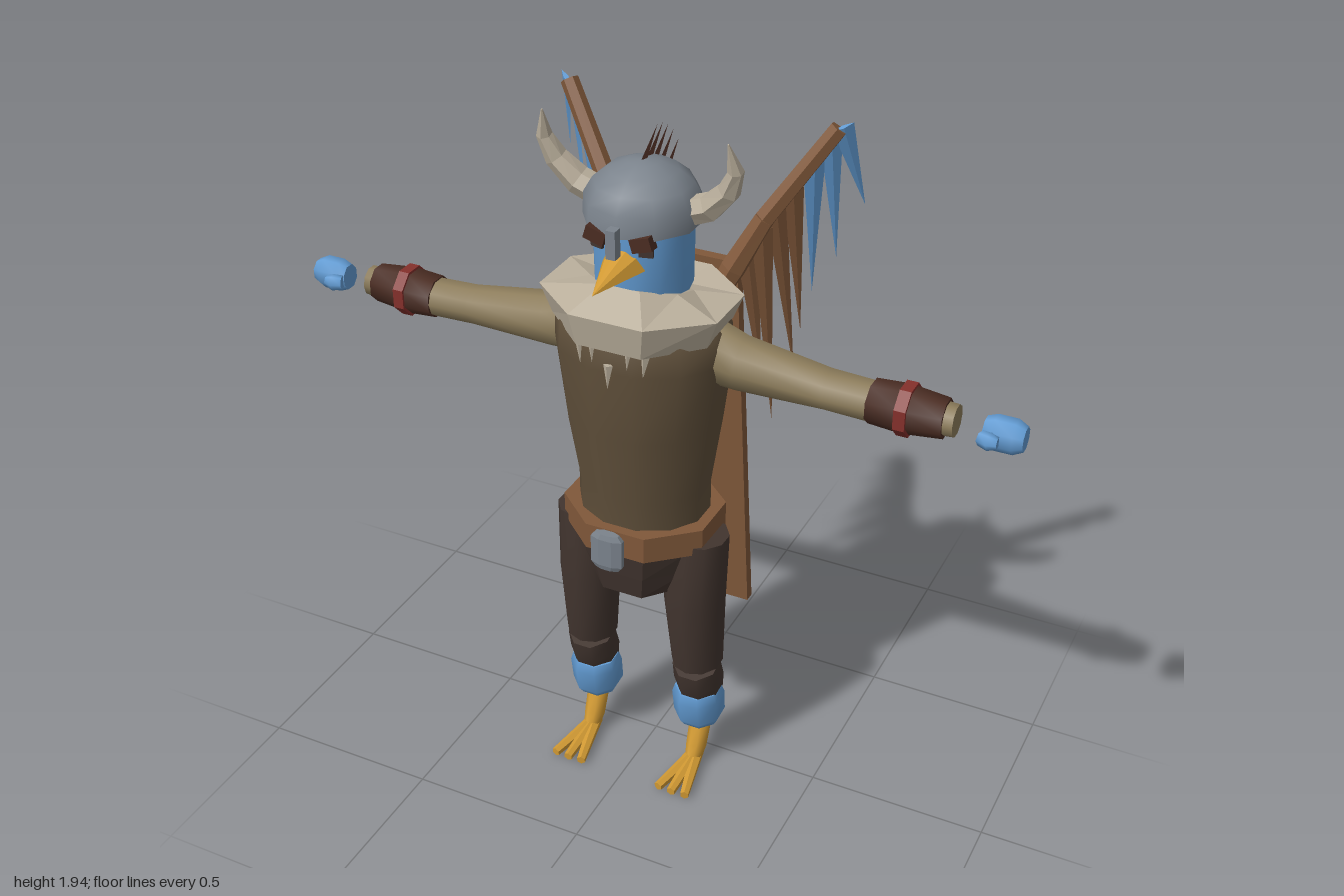
import * as THREE from 'three';
import { ConvexGeometry } from 'three/addons/geometries/ConvexGeometry.js';

const V = (x, y, z) => new THREE.Vector3(x, y, z);
const mat = (name, color) => {
  const m = new THREE.MeshStandardMaterial({ color });
  m.name = name;
  return m;
};

// Closed skin over elliptical rings [x, y, z, radiusAcross, radiusDepth] along a path.
function loft(rings, n) {
  const pos = [], idx = [], c = rings.map(r => V(r[0], r[1], r[2]));
  const k = 1 / Math.cos(Math.PI / n), last = rings.length - 1;
  const ring = i => {
    const t = c[Math.min(i + 1, last)].clone().sub(c[Math.max(i - 1, 0)]).normalize();
    const u = t.clone().cross(V(0, 0, 1)).normalize(), v = u.clone().cross(t);
    const start = pos.length / 3, [, , , a, b = a] = rings[i];
    for (let j = 0; j < n; j++) {
      const w = ((j + 0.5) / n) * Math.PI * 2;
      const p = c[i].clone().addScaledVector(u, a * k * Math.cos(w)).addScaledVector(v, b * k * Math.sin(w));
      pos.push(p.x, p.y, p.z);
    }
    return start;
  };
  for (let i = 0; i <= last; i++) ring(i);
  for (let i = 0; i < last; i++) for (let j = 0; j < n; j++) {
    const a = i * n + j, b = i * n + (j + 1) % n;
    idx.push(a, a + n, b, b, a + n, b + n);
  }
  // End caps keep their own vertices so their rims stay sharp
  for (const [i, start] of [[0, true], [last, false]]) {
    const s = ring(i);
    for (let j = 1; j < n - 1; j++) start ? idx.push(s, s + j, s + j + 1) : idx.push(s, s + j + 1, s + j);
  }
  const g = new THREE.BufferGeometry();
  g.setAttribute('position', new THREE.Float32BufferAttribute(pos, 3));
  g.setIndex(idx);
  g.computeVertexNormals();
  return g;
}

function flat(g) {
  const f = g.index ? g.toNonIndexed() : g;
  f.computeVertexNormals();
  return f;
}

// Flat tapering blade from base to tip, widened along a given direction.
function blade(base, tip, along, width, thick) {
  const d = tip.clone().sub(base), len = d.length();
  d.normalize();
  const x = along.clone().addScaledVector(d, -along.dot(d)).normalize();
  const z = x.clone().cross(d);
  const g = new THREE.ConeGeometry(1, 1, 4);
  g.translate(0, 0.5, 0);
  g.scale(width / 2, len, thick / 2);
  g.applyMatrix4(new THREE.Matrix4().makeBasis(x, d, z).setPosition(base));
  return flat(g);
}

export function createModel() {
  const tunic = mat('tunicBrown', 0x5f4f3a), sleeve = mat('sleeveTan', 0x8c7c5b);
  const cuff = mat('darkLeather', 0x4a2c22), red = mat('bandRed', 0x84302b);
  const blue = mat('featherBlue', 0x629bd2), bone = mat('boneCream', 0xb9ae9b);
  const steel = mat('helmetGrey', 0x7b838c), pants = mat('trouserBrown', 0x42352f);
  const brown = mat('leatherBrown', 0x80583a), orange = mat('beakOrange', 0xd39b34);

  const root = new THREE.Group();
  root.name = 'birdWarrior';
  const add = (name, geo, material) => {
    const m = new THREE.Mesh(geo, material);
    m.name = name;
    root.add(m);
    return m;
  };
  const skin = (name, material, n, rings) => add(name, loft(rings, n), material);
  const facet = (name, material, n, rings) => add(name, flat(loft(rings, n)), material);

  // Body
  skin('torso', tunic, 12, [[0, 0.8, 0.07, 0.175, 0.15], [0, 0.95, 0.07, 0.175, 0.155], [0, 1.15, 0.075, 0.205, 0.18],
    [0, 1.35, 0.075, 0.23, 0.19], [0, 1.43, 0.075, 0.225, 0.185], [0, 1.47, 0.075, 0.17, 0.15]]);
  facet('collar', bone, 8, [[0, 1.425, 0.08, 0.215, 0.19], [0, 1.5, 0.085, 0.245, 0.2], [0, 1.515, 0.08, 0.12, 0.12]]);
  facet('hips', pants, 8, [[0, 0.65, 0.065, 0.14, 0.145], [0, 0.72, 0.07, 0.165, 0.155], [0, 0.81, 0.075, 0.19, 0.165]]);
  facet('belt', brown, 8, [[0, 0.79, 0.07, 0.205, 0.18], [0, 0.865, 0.07, 0.205, 0.18]]);
  facet('buckle', steel, 8, [[0, 0.775, 0.29, 0.033, 0.012], [0, 0.79, 0.29, 0.045, 0.016],
    [0, 0.87, 0.29, 0.045, 0.016], [0, 0.885, 0.29, 0.033, 0.012]]);

  // Necklace of teeth
  for (const [x, y] of [[-0.09, 1.41], [-0.05, 1.415], [0, 1.375], [0.05, 1.415], [0.09, 1.41]])
    add('necklaceTooth', blade(V(x, y, 0.27 - Math.abs(x) * 0.25), V(x * 0.95, y - 0.065, 0.275 - Math.abs(x) * 0.25),
      V(1, 0, 0), 0.026, 0.02), bone);

  // Head and helmet
  skin('head', blue, 12, [[0, 1.49, 0.07, 0.105, 0.11], [0, 1.53, 0.07, 0.122, 0.124], [0, 1.72, 0.07, 0.125, 0.126]]);
  skin('helmet', steel, 10, [[0, 1.695, 0.07, 0.145], [0, 1.75, 0.07, 0.142], [0, 1.79, 0.07, 0.12],
    [0, 1.82, 0.07, 0.085], [0, 1.84, 0.07, 0.04], [0, 1.843, 0.07, 0.004]]);
  add('noseGuard', new THREE.BoxGeometry(0.026, 0.075, 0.028), steel).position.set(0, 1.69, 0.236);
  const upper = [[0.045, 1.645], [0.062, 1.605], [0.015, 1.662]];
  const beak = [V(0, 1.6, 0.345)];
  for (const s of [1, -1]) for (const [x, y] of upper) beak.push(V(s * x, y, 0.17));
  add('upperBeak', flat(new ConvexGeometry(beak)), orange);
  add('lowerBeak', flat(new ConvexGeometry([V(0.05, 1.607, 0.17), V(-0.05, 1.607, 0.17),
    V(0.025, 1.578, 0.17), V(-0.025, 1.578, 0.17), V(0, 1.6, 0.28)])), orange);
  for (let i = 0; i < 5; i++) {
    const z = 0.07 - i * 0.03, y = 1.835 - i * i * 0.005;
    add('crestSpike', blade(V(0, y, z), V(0, y + 0.068, z - 0.075), V(0, 0, 1), 0.03, 0.014), cuff);
  }

  // Cape
  const cape = new THREE.BoxGeometry(0.34, 1.1, 0.03), cp = cape.attributes.position;
  for (let i = 0; i < cp.count; i++) {
    const t = 0.5 - cp.getY(i) / 1.1;
    cp.setX(i, cp.getX(i) * (0.92 + t * 0.22));
    cp.setZ(i, cp.getZ(i) - 0.165 - t * 0.052);
  }
  cape.translate(0, 0.95, 0);
  add('cape', flat(cape), brown);

  for (const s of [1, -1]) {
    // Face and horns
    const brow = add('brow', new THREE.BoxGeometry(0.055, 0.035, 0.03), cuff);
    brow.position.set(s * 0.062, 1.687, 0.2);
    brow.rotation.z = s * 0.3;
    const eye = add('eye', new THREE.BoxGeometry(0.035, 0.028, 0.009), pants);
    eye.position.set(s * 0.066, 1.662, 0.19);
    eye.rotation.y = s * 0.25;
    facet('horn', bone, 6, [[s * 0.11, 1.725, 0.065, 0.033], [s * 0.18, 1.755, 0.072, 0.032],
      [s * 0.232, 1.81, 0.085, 0.026], [s * 0.255, 1.87, 0.1, 0.018], [s * 0.245, 1.945, 0.125, 0.002]]);

    // Arm
    skin('sleeve', sleeve, 10, [[s * 0.17, 1.365, 0.065, 0.085, 0.07], [s * 0.27, 1.345, 0.065, 0.07, 0.066],
      [s * 0.5, 1.33, 0.065, 0.05, 0.056], [s * 0.63, 1.325, 0.065, 0.05, 0.052], [s * 0.83, 1.327, 0.065, 0.04, 0.038]]);
    skin('bracer', cuff, 8, [[s * 0.615, 1.327, 0.065, 0.052, 0.056], [s * 0.7, 1.327, 0.065, 0.058, 0.058],
      [s * 0.805, 1.327, 0.065, 0.048, 0.046]]);
    facet('bracerBand', red, 8, [[s * 0.69, 1.327, 0.065, 0.064, 0.064], [s * 0.72, 1.327, 0.065, 0.064, 0.064]]);
    skin('hand', blue, 8, [[s * 0.9, 1.323, 0.067, 0.033, 0.03], [s * 0.925, 1.323, 0.067, 0.042, 0.038],
      [s * 0.975, 1.323, 0.067, 0.042, 0.038], [s, 1.323, 0.067, 0.03, 0.028]]);
    skin('thumb', blue, 6, [[s * 0.9, 1.322, 0.105, 0.017], [s * 0.925, 1.322, 0.113, 0.02], [s * 0.945, 1.322, 0.113, 0.013]]);

    // Leg
    skin('thigh', pants, 10, [[s * 0.165, 0.38, 0.077, 0.068, 0.07], [s * 0.16, 0.6, 0.09, 0.08, 0.085],
      [s * 0.165, 0.81, 0.083, 0.08, 0.081]]);
    skin('shin', pants, 8, [[s * 0.165, 0.26, 0.052, 0.058, 0.06], [s * 0.165, 0.31, 0.065, 0.064, 0.07],
      [s * 0.165, 0.37, 0.082, 0.062, 0.064]]);
    skin('ankleFluff', blue, 8, [[s * 0.163, 0.155, 0.05, 0.055, 0.055], [s * 0.163, 0.18, 0.053, 0.067, 0.068],
      [s * 0.163, 0.25, 0.063, 0.068, 0.07], [s * 0.163, 0.275, 0.065, 0.06, 0.062]]);
    skin('ankle', orange, 8, [[s * 0.165, 0.028, 0.095, 0.022], [s * 0.165, 0.06, 0.075, 0.027], [s * 0.165, 0.14, 0.045, 0.029]]);
    for (const spread of [-0.042, 0, 0.042]) {
      const toe = new THREE.CylinderGeometry(0.013, 0.02, 0.18, 6);
      toe.rotateX(Math.PI / 2);
      const m = add('toe', flat(toe), orange);
      m.position.set(s * 0.165 + spread * 0.5, 0.023, 0.155);
      m.lookAt(s * 0.165 + spread, 0.017, 0.245);
    }

    // Wing arm and feathers
    const shoulder = V(s * 0.1, 1.38, -0.12), elbow = V(s * 0.22, 1.63, -0.17), tip = V(s * 0.375, 1.87, -0.25);
    facet('wingUpperArm', brown, 6, [[...shoulder, 0.022], [s * 0.15, 1.49, -0.14, 0.03], [...elbow, 0.024]]);
    facet('wingForearm', brown, 6, [[...elbow, 0.024], [...tip, 0.021]]);
    const feathers = [
      [blue, 0.385, 1.875, -0.25, 0.425, 1.64, -0.337], [blue, 0.36, 1.84, -0.24, 0.365, 1.49, -0.31],
      [blue, 0.325, 1.78, -0.222, 0.31, 1.39, -0.29], [brown, 0.28, 1.71, -0.2, 0.285, 1.27, -0.285],
      [brown, 0.245, 1.66, -0.18, 0.265, 1.14, -0.3], [brown, 0.215, 1.6, -0.165, 0.22, 0.975, -0.27],
      [brown, 0.18, 1.54, -0.155, 0.2, 1.1, -0.24]];
    for (const [m, x, y, z, tx, ty, tz] of feathers)
      add('wingFeather', blade(V(s * x, y, z), V(s * tx, ty, tz), tip.clone().sub(elbow), 0.058, 0.014), m);
  }
  return root;
}
